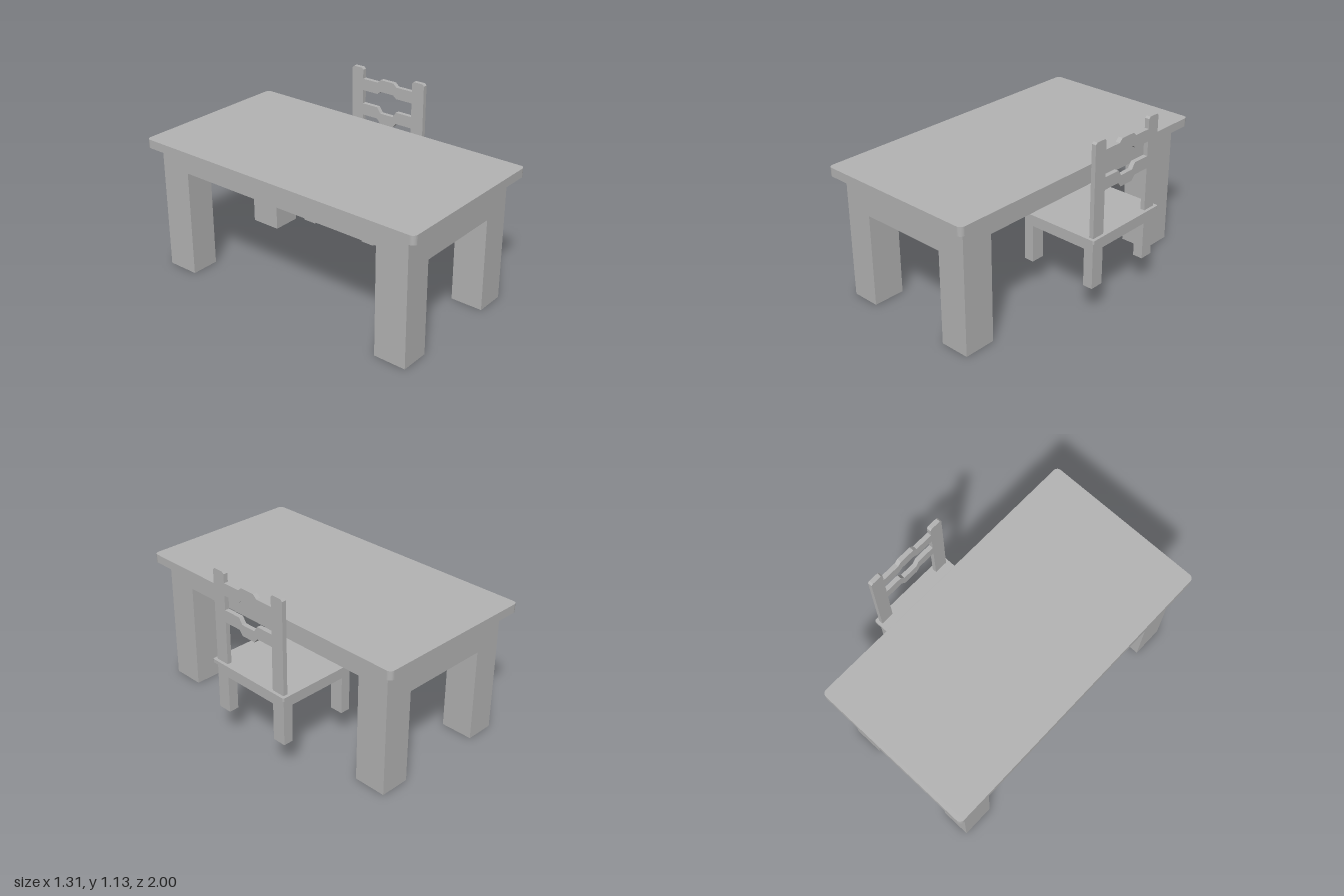
import * as THREE from 'three';

export function createModel() {
  const model = new THREE.Group();
  const grey = new THREE.MeshStandardMaterial({ color: 0xb3b3b3 });
  grey.name = 'plain grey';

  const add = (parent, name, geometry) => {
    const mesh = new THREE.Mesh(geometry, grey);
    mesh.name = name;
    parent.add(mesh);
  };

  // Box given by its limits on each axis
  const box = (parent, name, [x0, x1], [y0, y1], [z0, z1]) => {
    const g = new THREE.BoxGeometry(x1 - x0, y1 - y0, z1 - z0);
    g.translate((x0 + x1) / 2, (y0 + y1) / 2, (z0 + z1) / 2);
    add(parent, name, g);
  };

  // Horizontal slab with rounded vertical corners
  const slab = (parent, name, [x0, x1], [y0, y1], [z0, z1], r) => {
    const s = new THREE.Shape();
    s.absarc(x1 - r, z1 - r, r, 0, Math.PI / 2);
    s.absarc(x0 + r, z1 - r, r, Math.PI / 2, Math.PI);
    s.absarc(x0 + r, z0 + r, r, Math.PI, Math.PI * 1.5);
    s.absarc(x1 - r, z0 + r, r, Math.PI * 1.5, Math.PI * 2);
    const g = new THREE.ExtrudeGeometry(s, { depth: y1 - y0, bevelEnabled: false, curveSegments: 5 });
    g.rotateX(Math.PI / 2).translate(0, y1, 0);
    // rotation maps shape y to +z and depth to -y
    add(parent, name, g);
  };

  // Outline in (z, y), extruded along x
  const profile = (parent, name, points, [x0, x1]) => {
    const s = new THREE.Shape(points.map(([z, y]) => new THREE.Vector2(-z, y)));
    const g = new THREE.ExtrudeGeometry(s, { depth: x1 - x0, bevelEnabled: false });
    g.rotateY(Math.PI / 2).translate(x0, 0, 0);
    add(parent, name, g);
  };

  // Table: top, four legs, four aprons flush with the legs
  const table = new THREE.Group();
  table.name = 'table';
  slab(table, 'tableTop', [-0.655, 0.435], [0.812, 0.868], [-1, 1], 0.03);
  const tableX = [[-0.597, -0.41], [0.176, 0.37]];
  const tableZ = [[-0.926, -0.716], [0.716, 0.926]];
  for (const x of tableX) for (const z of tableZ) box(table, 'tableLeg', x, [0, 0.812], z);
  for (const x of [[-0.597, -0.547], [0.32, 0.37]]) {
    box(table, 'tableSideApron', x, [0.695, 0.812], [-0.716, 0.716]);
  }
  for (const z of [[-0.926, -0.876], [0.876, 0.926]]) {
    box(table, 'tableEndApron', [-0.41, 0.176], [0.604, 0.812], z);
  }
  model.add(table);

  // Chair: seat, legs and aprons, tucked partly under the table
  const chair = new THREE.Group();
  chair.name = 'chair';
  slab(chair, 'chairSeat', [0.085, 0.652], [0.512, 0.534], [-0.42, 0.185], 0.01);
  const chairZ = [[-0.4, -0.312], [0.075, 0.165]];
  for (const x of [[0.105, 0.17], [0.567, 0.632]]) {
    for (const z of chairZ) box(chair, 'chairLeg', x, [0.203, 0.512], z);
  }
  for (const z of [[-0.4, -0.37], [0.135, 0.165]]) {
    box(chair, 'chairSideApron', [0.17, 0.567], [0.448, 0.512], z);
  }
  box(chair, 'chairBackApron', [0.602, 0.632], [0.445, 0.512], [-0.312, 0.075]);
  box(chair, 'chairFrontApron', [0.105, 0.135], [0.43, 0.512], [-0.312, 0.075]);

  // Backrest posts with clipped top corners
  const backX = [0.603, 0.632];
  chairZ.forEach(([a, b], i) => {
    const top = i ? 1.127 : 1.133, c = 0.012;
    profile(chair, 'backPost', [[b, 0.534], [a, 0.534], [a, top - c], [a + c, top],
      [b - c, top], [b, top - c]], backX);
  });

  // Stepped rails: the middle is offset from the ends
  const rail = (name, low, high, lowMid, highMid) => {
    const mid = -0.12;
    const edge = (end, middle) => [[0.075, end], [mid + 0.075, end], [mid + 0.05, middle],
      [mid - 0.05, middle], [mid - 0.075, end], [-0.312, end]];
    profile(chair, name, [...edge(low, lowMid), ...edge(high, highMid).reverse()], backX);
  };
  rail('upperRail', 0.982, 1.06, 1.002, 1.082);
  rail('lowerRail', 0.812, 0.89, 0.782, 0.853);
  model.add(chair);

  return model;
}
